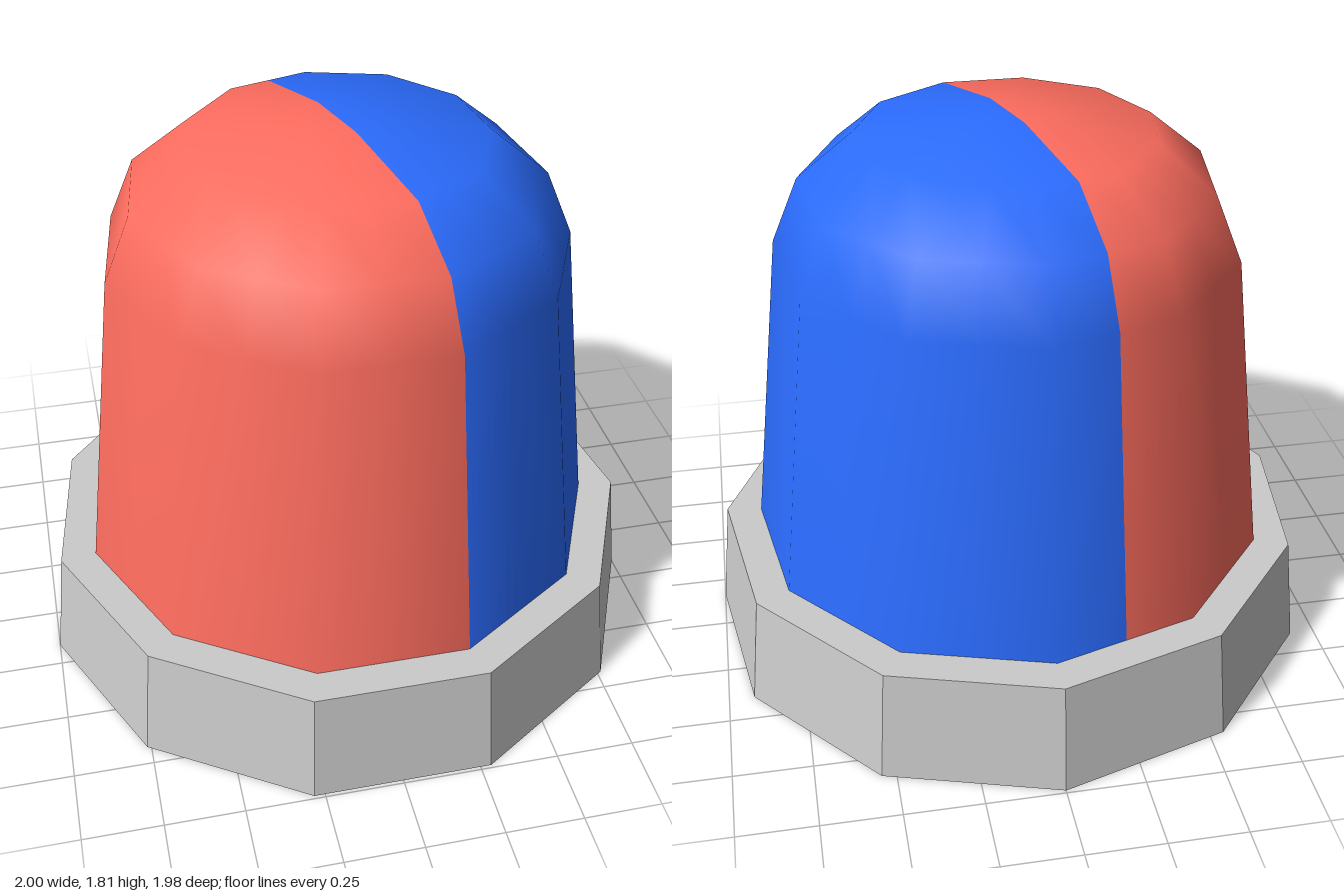
import * as THREE from 'three';

const SIDES = 11;
const STEP = Math.PI / SIDES; // half of one side's angle

// Dome outline from the base up to the small flat top: radius, height
const PROFILE = [
  [0.854, 0.37], [0.737, 1.39], [0.65, 1.6], [0.47, 1.75], [0.12, 1.81], [0, 1.81],
].map(([r, y]) => new THREE.Vector2(r, y));

// Half of the eleven-sided dome. Every second column lies in the middle of a flat side.
function domeHalf(name, color, start, firstIsCorner) {
  const geometry = new THREE.LatheGeometry(PROFILE, SIDES, start, Math.PI);
  const pos = geometry.attributes.position;
  const inset = Math.cos(STEP);
  for (let i = 0; i < pos.count; i++) {
    const column = Math.floor(i / PROFILE.length);
    const isCorner = (column % 2 === 0) === firstIsCorner;
    if (!isCorner) pos.setXYZ(i, pos.getX(i) * inset, pos.getY(i), pos.getZ(i) * inset);
  }
  const mesh = new THREE.Mesh(
    geometry,
    new THREE.MeshStandardMaterial({ color, side: THREE.DoubleSide }),
  );
  mesh.name = name;
  return mesh;
}

export function createModel() {
  const model = new THREE.Group();
  model.name = 'beaconLight';

  // Tapered base with one corner pointing to the back
  const base = new THREE.Mesh(
    new THREE.CylinderGeometry(0.97, 1.01, 0.37, SIDES, 1, false, Math.PI),
    new THREE.MeshStandardMaterial({ color: 0xcccccc, flatShading: true }),
  );
  base.name = 'base';
  base.position.y = 0.185;
  model.add(base);

  // Two-coloured dome, split from a front corner to the middle of the opposite side
  model.add(domeHalf('blueDomeHalf', 0x2b6cff, STEP, true));
  model.add(domeHalf('redDomeHalf', 0xff6d5f, STEP + Math.PI, false));

  // An odd-sided outline is not symmetric front to back, so centre its extent
  for (const part of model.children) part.position.z = 0.02;
  return model;
}
